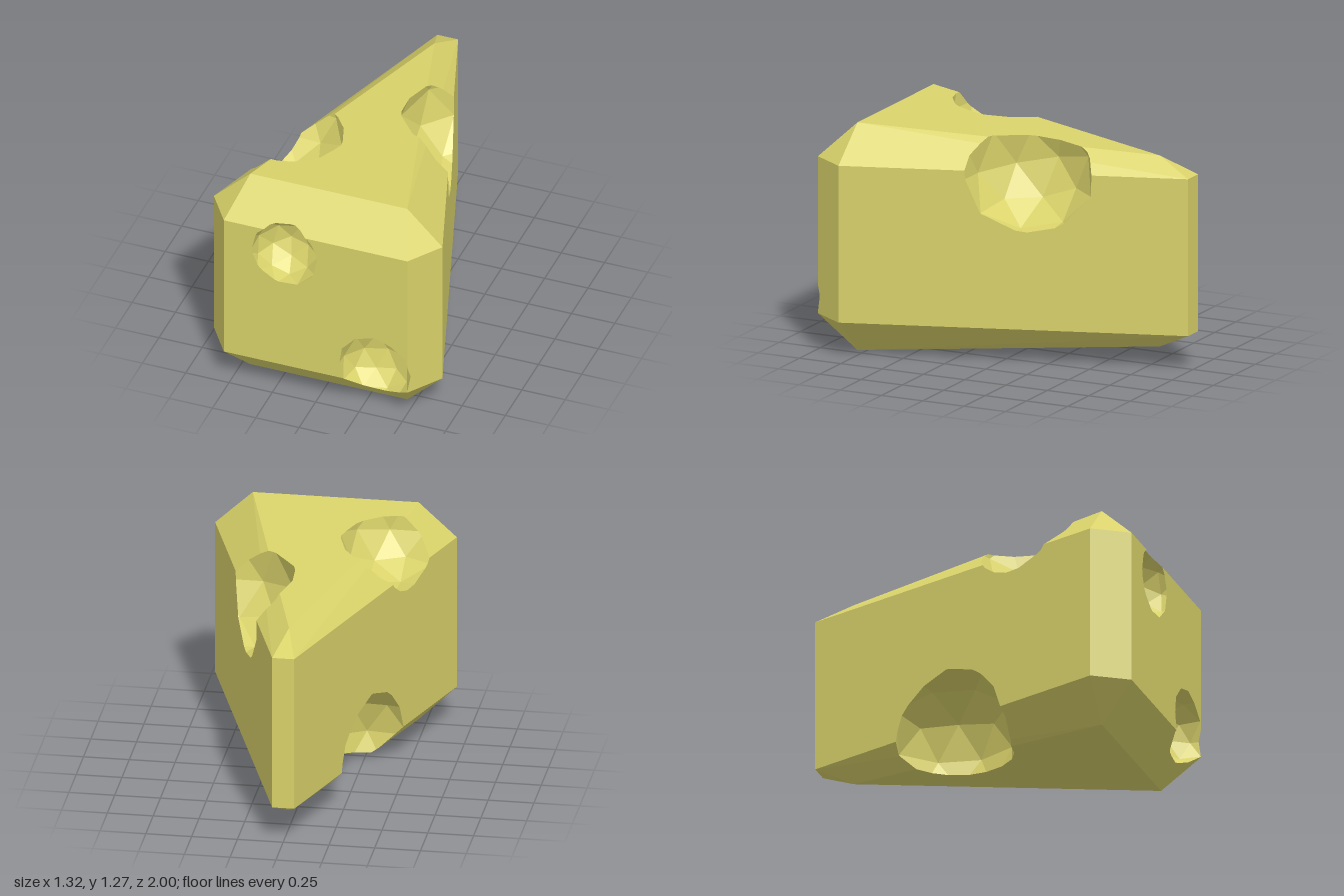
import * as THREE from 'three';
import { ConvexGeometry } from 'three/addons/geometries/ConvexGeometry.js';

const EPS = 1e-6;
const v = (x, y, z) => new THREE.Vector3(x, y, z);

// Triangles of a geometry as arrays of three points
function trianglesOf(geometry) {
  const g = geometry.index ? geometry.toNonIndexed() : geometry;
  const p = g.attributes.position;
  const list = [];
  for (let i = 0; i < p.count; i += 3) {
    list.push([0, 1, 2].map((k) => new THREE.Vector3().fromBufferAttribute(p, i + k)));
  }
  return list;
}

const planesOf = (tris) => tris.map((t) => new THREE.Plane().setFromCoplanarPoints(...t));

// Part of a convex polygon on one side of a plane (side 1 = in front, -1 = behind)
function clip(poly, plane, side) {
  const out = [];
  poly.forEach((a, i) => {
    const b = poly[(i + 1) % poly.length];
    const da = side * plane.distanceToPoint(a);
    const db = side * plane.distanceToPoint(b);
    if (da >= -EPS) out.push(a);
    if ((da > EPS && db < -EPS) || (da < -EPS && db > EPS)) {
      out.push(a.clone().lerp(b, da / (da - db)));
    }
  });
  return out.length > 2 ? out : [];
}

const clipInside = (poly, planes) => planes.reduce((p, pl) => (p.length ? clip(p, pl, -1) : p), poly);

// Pieces of a polygon left over once a convex solid is taken away
function cutAway(poly, planes) {
  if (!clipInside(poly, planes).length) return [poly];
  const pieces = [];
  let rest = poly;
  for (const plane of planes) {
    const outside = clip(rest, plane, 1);
    if (outside.length && outside.some((p) => plane.distanceToPoint(p) > EPS)) pieces.push(outside);
    rest = clip(rest, plane, -1);
    if (!rest.length) break;
  }
  return pieces;
}

function meshFrom(polys, name, material) {
  const points = [];
  for (const p of polys) {
    for (let i = 1; i < p.length - 1; i++) points.push(p[0], p[i], p[i + 1]);
  }
  const geometry = new THREE.BufferGeometry().setFromPoints(points);
  geometry.computeVertexNormals();
  const mesh = new THREE.Mesh(geometry, material);
  mesh.name = name;
  return mesh;
}

export function createModel() {
  const group = new THREE.Group();
  group.name = 'cheeseWedge';
  const material = new THREE.MeshStandardMaterial({ color: 0xd9d26a, flatShading: true });

  // Bevelled wedge, mirrored left to right
  const corners = [v(0, 1.17, -0.8), v(0, 0.105, -0.8)];
  for (const s of [-1, 1]) {
    for (const y of [0.2, 1.075]) {
      corners.push(v(s * 0.53, y, 1), v(s * 0.66, y, 0.81), v(s * 0.06, y, -1));
    }
    corners.push(v(s * 0.453, 0, 0.8), v(s * 0.453, 1.27, 0.8));
  }
  const bodyTris = trianglesOf(new ConvexGeometry(corners));
  const bodyPlanes = planesOf(bodyTris);

  // Round holes: centre, radius, turn and tilt
  const holes = [
    { name: 'frontUpperHole', at: [-0.18, 0.935, 1.0], r: 0.195, turn: 0.5, tilt: 0.4 },
    { name: 'frontLowerHole', at: [0.34, 0.3, 1.0], r: 0.212, turn: 0, tilt: 0 },
    { name: 'rightTopHole', at: [0.415, 1.1, -0.2], r: 0.38, turn: 0.3, tilt: 0.2 },
    { name: 'leftTopHole', at: [-0.41, 1.27, 0.325], r: 0.315, turn: 0.9, tilt: 0.3 },
    { name: 'leftBottomHole', at: [-0.335, 0.15, -0.125], r: 0.382, turn: 0.2, tilt: 0 },
  ];

  let skin = bodyTris;
  for (const h of holes) {
    const ball = new THREE.IcosahedronGeometry(h.r, 1);
    ball.rotateZ(Math.atan(2 / (1 + Math.sqrt(5))));
    ball.rotateY(h.turn).rotateX(h.tilt).translate(...h.at);
    const tris = trianglesOf(ball);
    const planes = planesOf(tris);
    skin = skin.flatMap((p) => cutAway(p, planes));

    // Inner wall of the hole faces its centre
    const wall = tris
      .map((t) => clipInside([...t].reverse(), bodyPlanes))
      .filter((p) => p.length);
    group.add(meshFrom(wall, h.name, material));
  }
  group.add(meshFrom(skin, 'wedgeBody', material));
  return group;
}
